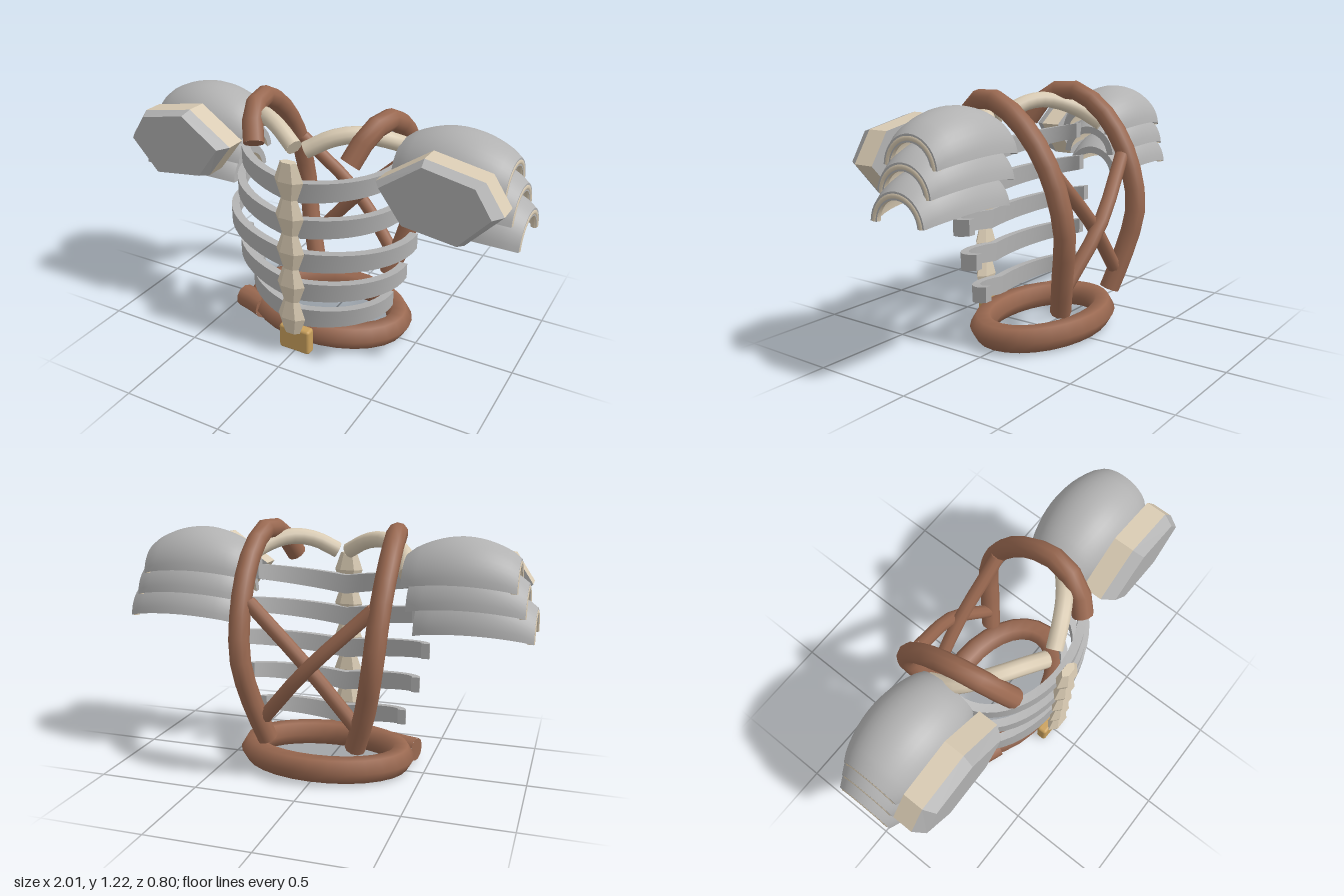
import * as THREE from 'three';
import { RoundedBoxGeometry } from 'three/addons/geometries/RoundedBoxGeometry.js';

const mat = (name, color, side = THREE.FrontSide) => {
  const m = new THREE.MeshStandardMaterial({ color, side });
  m.name = name;
  return m;
};
const grey = mat('grey plate', 0xb2b2b2, THREE.DoubleSide);
const bone = mat('bone', 0xd9cbb3, THREE.DoubleSide);
const leather = mat('brown leather', 0x996850);
const gold = mat('gold', 0xc9a05c);

function add(parent, name, geometry, material) {
  const mesh = new THREE.Mesh(geometry, material);
  mesh.name = name;
  parent.add(mesh);
  return mesh;
}

// Capped tube through a few points
function addTube(parent, name, pts, radius, material, segments = 12) {
  const group = new THREE.Group();
  group.name = name;
  parent.add(group);
  const curve = new THREE.CatmullRomCurve3(pts.map(p => new THREE.Vector3(...p)));
  add(group, name + 'Body', new THREE.TubeGeometry(curve, segments, radius, 10), material);
  for (const end of [0, 1]) {
    const cap = add(group, name + 'End', new THREE.CircleGeometry(radius, 10), material);
    cap.position.copy(curve.getPointAt(end));
    cap.lookAt(cap.position.clone().addScaledVector(curve.getTangentAt(end), end ? 1 : -1));
  }
  return group;
}

// Move every vertex of a geometry by a rule
function warp(geometry, rule) {
  const p = geometry.attributes.position;
  const v = new THREE.Vector3();
  for (let i = 0; i < p.count; i++) {
    v.fromBufferAttribute(p, i);
    rule(v);
    p.setXYZ(i, v.x, v.y, v.z);
  }
  geometry.computeVertexNormals();
  return geometry;
}

// Grid surface where fn(u, v, target) takes u and v in 0..1
const surface = (nu, nv, fn) => warp(new THREE.PlaneGeometry(1, 1, nu, nv),
  p => fn(p.x + 0.5, p.y + 0.5, p));

// Curved rib: a box bent round half an ellipse, rising to its ends
function ribGeometry(width, front, endTop) {
  return warp(new THREE.BoxGeometry(2, 1, 1, 24, 1, 1), p => {
    const t = p.x * Math.PI / 2, k = Math.abs(p.x), off = (p.z - 0.5) * 0.04;
    const y = endTop - 0.13 + 0.0925 * k + p.y * (0.098 - 0.022 * k);
    p.set((width + off) * Math.sin(t), y, 0.05 + (front - 0.05 + off) * Math.cos(t));
  });
}

// One arched shoulder layer with lining, edges and rolled rim
function addShoulderLayer(parent, index) {
  const group = new THREE.Group();
  group.name = 'shoulderLayer' + (index + 1);
  parent.add(group);
  const x0 = [0.395, 0.42, 0.455][index], x1 = [0.915, 0.957, 1.0][index];
  const base = 0.945 - 0.11 * index, thick = 0.035;
  const point = (s, v, inset, p) => {
    const bulge = Math.pow(Math.max(0, Math.sin(Math.PI * s)), 0.75);
    const r = 0.148 + 0.06 * bulge - inset;
    const a = THREE.MathUtils.lerp(0.08, Math.PI - 0.08, v);
    p.set(x0 + (x1 - x0) * s, base + 0.03 * bulge + r * Math.sin(a), r * Math.cos(a));
  };
  add(group, 'outerShell', surface(14, 18, (u, v, p) => point(u, v, 0, p)), grey);
  add(group, 'lining', surface(14, 18, (u, v, p) => point(u, v, thick, p)), bone);
  for (const end of [0, 1]) {
    add(group, 'lowerEdge', surface(14, 1, (u, v, p) => point(u, end, v * thick, p)), grey);
    add(group, 'sideEdge', surface(1, 18, (u, v, p) => point(end, v, u * thick, p)), grey);
  }
  const rim = add(group, 'rolledRim', new THREE.TorusGeometry(0.13, 0.018, 8, 18, Math.PI - 0.16), bone);
  rim.rotation.set(0, Math.PI / 2, 0);
  rim.geometry.rotateZ(0.08);
  rim.position.set(x1 - 0.014, base, 0);
}

// Six-sided shoulder guard plate
const guardOutline = [[0.96, 0.95], [0.87, 1.085], [0.6, 1.135], [0.38, 0.985], [0.51, 0.815], [0.8, 0.778]];
function addGuard(parent) {
  const shape = new THREE.Shape(guardOutline.map(p => new THREE.Vector2(...p)));
  const slab = depth => new THREE.ExtrudeGeometry(shape, { depth, bevelEnabled: false });
  add(parent, 'guardBase', slab(0.1), [grey, bone]).position.z = 0.17;
  const face = warp(slab(0.055), p => {
    if (p.z > 0.01) {
      p.x = 0.68 + (p.x - 0.68) * 0.87;
      p.y = 0.955 + (p.y - 0.955) * 0.9;
    }
  });
  add(parent, 'guardFace', face, grey).position.z = 0.27;
}

function makeSide(name) {
  const side = new THREE.Group();
  side.name = name;
  for (let i = 0; i < 3; i++) addShoulderLayer(side, i);
  addGuard(side);
  addTube(side, 'collarbone', [[0.03, 1.055, 0.265], [0.14, 1.115, 0.215], [0.25, 1.13, 0.15],
    [0.37, 1.08, 0.04], [0.41, 1.01, -0.08]], 0.04, bone);
  addTube(side, 'shoulderStrap', [[0.25, 1.03, 0.26], [0.3, 1.15, 0.18], [0.33, 1.18, 0.04],
    [0.34, 1.08, -0.13], [0.335, 0.88, -0.275], [0.32, 0.62, -0.345], [0.28, 0.4, -0.31],
    [0.22, 0.2, -0.26]], 0.05, leather, 14);
  return side;
}

export function createModel() {
  const model = new THREE.Group();
  model.name = 'ribbedHarness';

  // Shoulders, collarbones and straps
  const left = makeSide('leftSide');
  const right = makeSide('rightSide');
  right.scale.x = -1;
  model.add(left, right);

  // Crossed back straps
  for (const s of [-1, 1]) {
    addTube(model, 'crossStrap', [[-0.3 * s, 0.87, -0.27], [0, 0.58, -0.31 - 0.02 * s],
      [0.24 * s, 0.3, -0.28]], 0.035, leather, 6);
  }

  // Ribs, top to bottom
  const widths = [0.42, 0.45, 0.5, 0.455, 0.39];
  const fronts = [0.345, 0.36, 0.36, 0.34, 0.3];
  widths.forEach((w, i) => add(model, 'rib', ribGeometry(w, fronts[i], 1.0 - 0.174 * i), grey));

  // Breastbone made of five six-sided beads
  const profile = [[0, -0.09], [0.043, -0.09], [0.075, 0], [0.043, 0.09], [0, 0.09]]
    .map(p => new THREE.Vector2(...p));
  for (let i = 0; i < 5; i++) {
    const geometry = new THREE.LatheGeometry(profile, 6).rotateY(Math.PI / 2).toNonIndexed();
    geometry.scale(1, 1, 0.52);
    geometry.computeVertexNormals();
    add(model, 'breastboneBead', geometry, bone).position.set(0, 0.22 + 0.18 * i, 0.366);
  }

  // Oval belt with its loose end and buckle
  const belt = new THREE.TorusGeometry(1, 0.066, 6, 28).rotateX(Math.PI / 2);
  const normals = belt.attributes.normal.clone();
  warp(belt, p => {
    const a = Math.atan2(p.z, p.x), d = Math.hypot(p.x, p.z) - 1;
    p.set(Math.cos(a) * (0.385 + d), p.y, Math.sin(a) * (0.25 + d));
  });
  belt.setAttribute('normal', normals);
  add(model, 'belt', belt, leather).position.set(0, 0.073, -0.012);
  addTube(model, 'beltEnd', [[-0.28, 0.073, 0.18], [-0.36, 0.073, 0.15], [-0.435, 0.073, 0.13]],
    0.06, leather, 2);
  add(model, 'buckle', new RoundedBoxGeometry(0.17, 0.135, 0.055, 2, 0.015), gold)
    .position.set(0, 0.0725, 0.328);
  return model;
}
